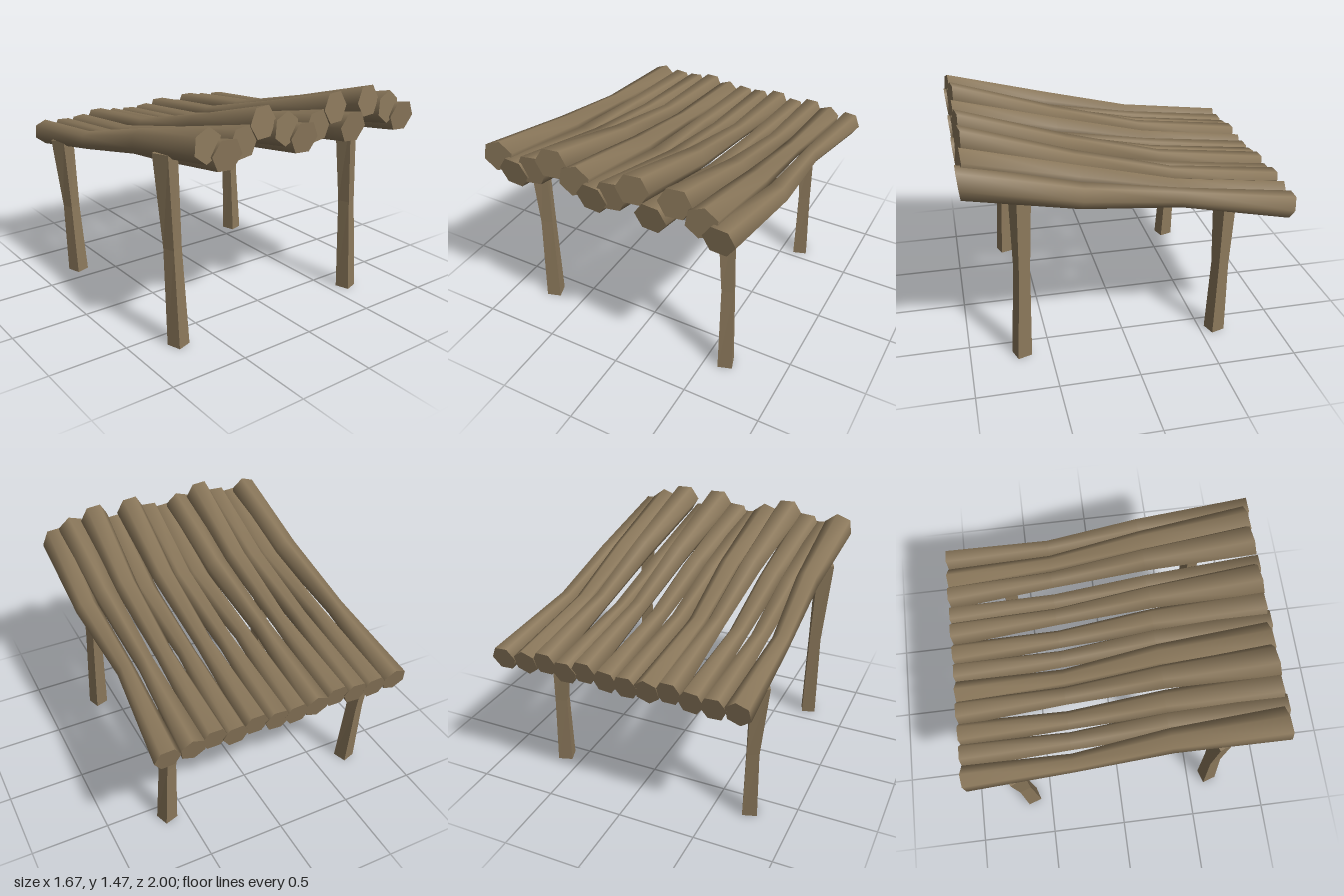
import * as THREE from 'three';

const wood = new THREE.MeshStandardMaterial({ color: 0x8b785b });
wood.name = 'weatheredWood';

// Skin a list of rings (arrays of Vector3, counter-clockwise seen from the last ring) and cap both ends
function loft(rings, smooth) {
  const n = rings[0].length, pos = [], idx = [];
  const add = (ring) => {
    const start = pos.length / 3;
    ring.forEach((p) => pos.push(p.x, p.y, p.z));
    return start;
  };
  const starts = rings.map(add);
  for (let r = 0; r < rings.length - 1; r++) {
    for (let i = 0; i < n; i++) {
      const j = (i + 1) % n, a = starts[r], b = starts[r + 1];
      idx.push(a + i, a + j, b + j, a + i, b + j, b + i);
    }
  }
  const first = add(rings[0]), last = add(rings[rings.length - 1]);
  for (let i = 1; i < n - 1; i++) {
    idx.push(first, first + i + 1, first + i, last, last + i, last + i + 1);
  }
  let g = new THREE.BufferGeometry();
  g.setAttribute('position', new THREE.Float32BufferAttribute(pos, 3));
  g.setIndex(idx);
  if (!smooth) g = g.toNonIndexed();
  g.computeVertexNormals();
  return g;
}

// Four log shapes: heights from back to front, hexagon turn, tilt of the front cut
const LOGS = [
  { y: [0.94, 1.045, 1.18, 1.325], turn: 22, cut: [-0.12, -0.06], z: 0.975 },
  { y: [0.935, 1.035, 1.12, 1.255], turn: -4, cut: [0, 0.1], z: 0.99 },
  { y: [0.94, 1.04, 1.15, 1.30], turn: 6, cut: [-0.08, 0], z: 0.975 },
  { y: [0.965, 1.07, 1.21, 1.385], turn: 0, cut: [-0.14, -0.1], z: 0.965 },
];

// x positions of each log from back to front, and which shape it uses
const ROOF = [
  [0, -0.75, -0.76, -0.73, -0.745], [1, -0.605, -0.62, -0.605, -0.63],
  [2, -0.47, -0.488, -0.48, -0.51], [3, -0.335, -0.337, -0.335, -0.37],
  [0, -0.20, -0.215, -0.19, -0.21], [1, -0.065, -0.08, -0.06, -0.09],
  [2, 0.065, 0.055, 0.065, 0.025], [3, 0.205, 0.20, 0.20, 0.165],
  [1, 0.335, 0.32, 0.325, 0.29], [3, 0.468, 0.465, 0.465, 0.43],
  [0, 0.60, 0.59, 0.605, 0.595], [1, 0.755, 0.717, 0.738, 0.705],
];
const RADII = [0.082, 0.058, 0.077, 0.1];

function makeLog([kind, ...xs]) {
  const { y, turn, cut, z } = LOGS[kind];
  const zs = [-0.983, -0.3, 0.3, z];
  const rings = xs.map((x, r) => {
    const ring = [];
    for (let i = 0; i < 6; i++) {
      const a = THREE.MathUtils.degToRad(turn + i * 60);
      const dx = Math.cos(a) * RADII[r], dy = Math.sin(a) * RADII[r];
      let dz = -0.12 * dy;
      if (r === 0) dz = -0.2 * dy;
      if (r === 3) dz = cut[0] * dx + cut[1] * dy;
      ring.push(new THREE.Vector3(x + dx, y[r] + dy, zs[r] + dz));
    }
    return ring;
  });
  return new THREE.Mesh(loft(rings, true), wood);
}

// Square post through three levels, each [x, y, z, side, turn in degrees]
function makeLeg(levels) {
  const rings = levels.map(([x, y, z, side, turn]) => {
    const ring = [];
    for (let i = 0; i < 4; i++) {
      const a = THREE.MathUtils.degToRad(turn + 45 + i * 90), r = side * Math.SQRT1_2;
      ring.push(new THREE.Vector3(x + Math.sin(a) * r, y, z + Math.cos(a) * r));
    }
    return ring;
  });
  return new THREE.Mesh(loft(rings, false), wood);
}

export function createModel() {
  const model = new THREE.Group();
  model.name = 'logShelter';

  // Sloping roof of bent logs
  const roof = new THREE.Group();
  roof.name = 'roof';
  ROOF.forEach((spec, i) => {
    const log = makeLog(spec);
    log.name = `roofLog${i + 1}`;
    roof.add(log);
  });
  model.add(roof);

  // Tall front legs and short back legs, both leaning the same way
  const legs = [
    ['frontLeft', 0.628, [0.678, 0.653, 0.64], 0.62, 1.2],
    ['frontRight', -0.723, [0.642, 0.613, 0.60], 0.62, 1.2],
    ['backLeft', 0.622, [-0.597, -0.613, -0.63], 0.48, 0.96],
    ['backRight', -0.726, [-0.633, -0.66, -0.675], 0.48, 0.96],
  ];
  for (const [name, x, z, midY, topY] of legs) {
    const leg = makeLeg([
      [x, 0, z[0], 0.093, 18],
      [x - 0.012, midY, z[1], 0.076, 20],
      [x - 0.043, topY, z[2], 0.104, 25],
    ]);
    leg.name = `${name}Leg`;
    model.add(leg);
  }
  return model;
}
